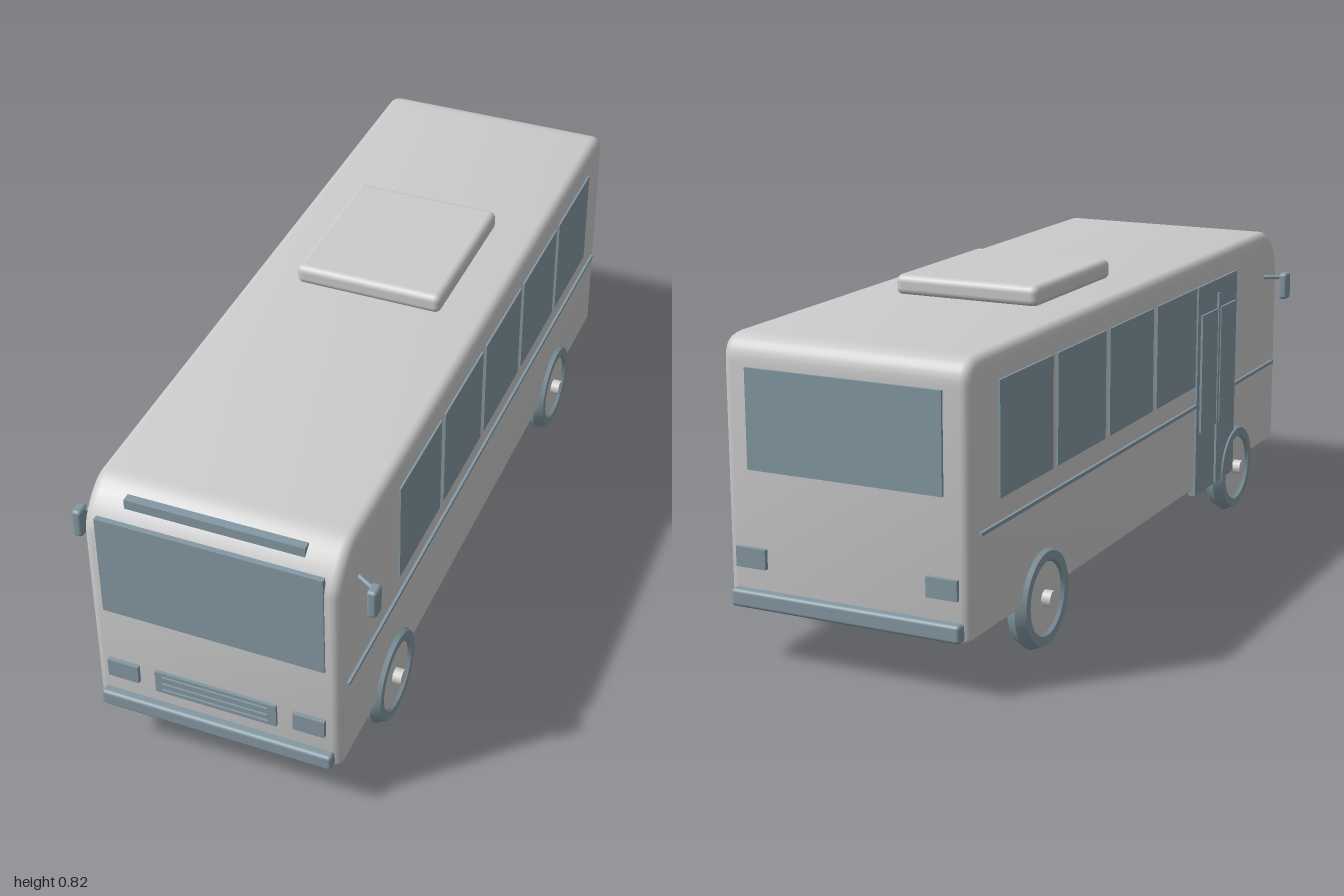
import * as THREE from 'three';
import { toCreasedNormals } from 'three/addons/utils/BufferGeometryUtils.js';
import { RoundedBoxGeometry } from 'three/addons/geometries/RoundedBoxGeometry.js';

export function createModel() {
  const bus = new THREE.Group();
  bus.name = 'bus';
  const grey = new THREE.MeshStandardMaterial({ color: 0xcccccc });
  const dark = new THREE.MeshStandardMaterial({ color: 0x8498a3 });

  function add(name, geometry, material, x = 0, y = 0, z = 0, parent = bus) {
    const mesh = new THREE.Mesh(geometry, material);
    mesh.name = name;
    mesh.position.set(x, y, z);
    parent.add(mesh);
    return mesh;
  }

  // Box given by its limits on each axis; r > 0 rounds the edges
  function block(name, material, [x0, x1], [y0, y1], [z0, z1], r = 0) {
    const size = [x1 - x0, y1 - y0, z1 - z0];
    const geometry = r ? new RoundedBoxGeometry(...size, 3, r) : new THREE.BoxGeometry(...size);
    return add(name, geometry, material, (x0 + x1) / 2, (y0 + y1) / 2, (z0 + z1) / 2);
  }

  // Body shell: side profile (z, y) extruded across the width
  const profile = new THREE.Shape();
  profile.moveTo(-0.96, 0.13);
  profile.lineTo(0.963, 0.13);
  profile.quadraticCurveTo(0.977, 0.13, 0.977, 0.145);
  profile.lineTo(0.977, 0.66);
  profile.bezierCurveTo(0.975, 0.7, 0.92, 0.772, 0.865, 0.772);
  profile.lineTo(-0.915, 0.772);
  profile.quadraticCurveTo(-0.977, 0.772, -0.977, 0.71);
  profile.lineTo(-0.977, 0.145);
  profile.quadraticCurveTo(-0.977, 0.13, -0.96, 0.13);
  const bevel = 0.024;
  const width = 0.628;
  const shell = new THREE.ExtrudeGeometry(profile, {
    depth: width - 2 * bevel, curveSegments: 8, bevelEnabled: true, bevelThickness: bevel,
    bevelSize: bevel, bevelOffset: -bevel, bevelSegments: 4,
  });
  shell.translate(0, 0, bevel - width / 2).rotateY(-Math.PI / 2);
  add('body', toCreasedNormals(shell, 0.6), grey);

  // Roof unit
  block('roofUnit', grey, [-0.194, 0.194], [0.768, 0.82], [-0.4, 0.035], 0.018);

  // Side windows and trim strips
  for (const side of [-1, 1]) {
    const skin = side < 0 ? [-0.319, -0.305] : [0.305, 0.319];
    for (let i = 0; i < 5; i++) {
      const z = -0.84 + i * 0.297;
      block('sideWindow', dark, skin, [0.432, 0.702], [z, z + 0.272]);
    }
    block('sideTrim', dark, side < 0 ? [-0.321, -0.305] : [0.305, 0.321],
      [0.371, 0.38], [-0.935, 0.94]);
  }

  // Double entrance door on the right side
  block('doorFrame', dark, [-0.32, -0.3], [0.122, 0.702], [0.332, 0.622]);
  for (const z of [0.352, 0.49]) {
    block('doorPane', dark, [-0.326, -0.31], [0.297, 0.622], [z, z + 0.112]);
  }
  block('doorDivider', dark, [-0.326, -0.31], [0.125, 0.665], [0.471, 0.483]);

  // Front glass, sign, grille and lamps
  block('windshield', dark, [-0.278, 0.278], [0.435, 0.712], [0.968, 0.982]);
  block('destinationSign', dark, [-0.22, 0.22], [0.712, 0.755], [0.92, 0.942]);
  block('grille', dark, [-0.155, 0.155], [0.218, 0.282], [0.965, 0.985]);
  for (const y of [0.23, 0.249, 0.27]) {
    block('grilleSlat', dark, [-0.136, 0.136], [y - 0.003, y + 0.003], [0.98, 0.99]);
  }
  block('rearWindow', dark, [-0.25, 0.25], [0.465, 0.702], [-0.984, -0.965]);
  for (const side of [-1, 1]) {
    const span = (a, b) => (side > 0 ? [a, b] : [-b, -a]);
    block('headlight', dark, span(0.198, 0.277), [0.23, 0.28], [0.965, 0.988]);
    block('tailLight', dark, span(0.208, 0.286), [0.232, 0.28], [-0.988, -0.965]);
  }

  // Bumpers
  block('frontBumper', dark, [-0.297, 0.297], [0.137, 0.18], [0.965, 1], 0.009);
  block('rearBumper', dark, [-0.297, 0.297], [0.137, 0.18], [-1, -0.965], 0.009);

  // Mirrors on angled arms
  for (const side of [-1, 1]) {
    const arm = new THREE.LineCurve3(
      new THREE.Vector3(side * 0.3, 0.641, 0.855), new THREE.Vector3(side * 0.364, 0.641, 0.893));
    add('mirrorArm', new THREE.TubeGeometry(arm, 1, 0.006, 10), dark);
    block('mirror', dark, side > 0 ? [0.352, 0.377] : [-0.377, -0.352],
      [0.577, 0.653], [0.878, 0.918], 0.009);
  }

  // Wheels: ridged tyre, rim disc and hub
  const tyreProfile = [
    [0.085, -0.014], [0.092, -0.025], [0.114, -0.025], [0.126, 0],
    [0.114, 0.025], [0.092, 0.025], [0.085, 0.014], [0.085, -0.014],
  ].map(([r, h]) => new THREE.Vector2(r, h));
  const tyre = toCreasedNormals(new THREE.LatheGeometry(tyreProfile, 40), 0.4);
  const rim = new THREE.CylinderGeometry(0.087, 0.087, 0.034, 40);
  const hub = new THREE.CylinderGeometry(0.02, 0.02, 0.08, 16);
  for (const side of [-1, 1]) {
    for (const z of [0.643, -0.61]) {
      const wheel = new THREE.Group();
      wheel.name = z > 0 ? 'frontWheel' : 'rearWheel';
      wheel.position.set(side * 0.3, 0.128, z);
      wheel.rotation.z = Math.PI / 2;
      add('tyre', tyre, dark, 0, 0, 0, wheel);
      add('rim', rim, grey, 0, 0, 0, wheel);
      add('hub', hub, grey, 0, 0, 0, wheel);
      bus.add(wheel);
    }
  }
  return bus;
}
